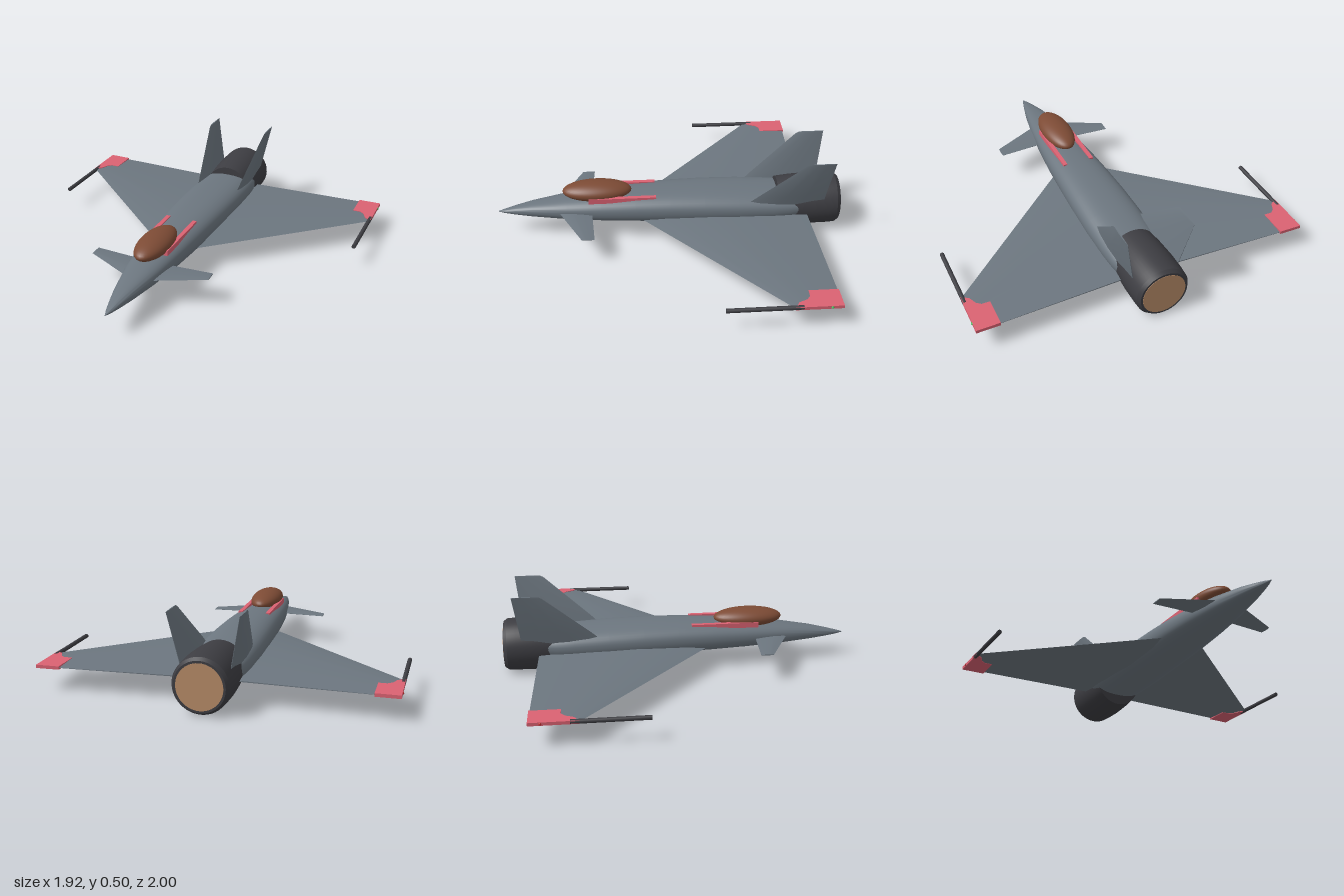
import * as THREE from 'three';
import { toCreasedNormals } from 'three/addons/utils/BufferGeometryUtils.js';

const paint = (color) => new THREE.MeshStandardMaterial({ color });
const skin = paint(0x6c767f);
const dark = paint(0x3d3d42);
const glass = paint(0x7d4b35);
const accent = paint(0xdb6272);
const glow = paint(0xb88c68);

function add(parent, name, geometry, material, x = 0, y = 0, z = 0) {
  const mesh = new THREE.Mesh(geometry, material);
  mesh.name = name;
  mesh.position.set(x, y, z);
  parent.add(mesh);
  return mesh;
}

// Skin a list of equal-length rings and close both ends; winding is fixed by signed volume.
function loft(rings, crease) {
  const n = rings[0].length;
  const pos = rings.flat().flat();
  const idx = [];
  for (let r = 0; r < rings.length - 1; r++) {
    for (let i = 0; i < n; i++) {
      const a = r * n + i, b = r * n + ((i + 1) % n);
      idx.push(a, b, a + n, b, b + n, a + n);
    }
  }
  [0, rings.length - 1].forEach((r, end) => {
    const c = pos.length / 3;
    for (let k = 0; k < 3; k++) pos.push(rings[r].reduce((s, p) => s + p[k], 0) / n);
    for (let i = 0; i < n; i++) {
      const a = r * n + i, b = r * n + ((i + 1) % n);
      idx.push(...(end ? [a, b, c] : [b, a, c]));
    }
  });
  const v = (i) => new THREE.Vector3().fromArray(pos, i * 3);
  let volume = 0;
  for (let i = 0; i < idx.length; i += 3) volume += v(idx[i]).dot(v(idx[i + 1]).cross(v(idx[i + 2])));
  if (volume < 0) idx.reverse();
  const g = new THREE.BufferGeometry();
  g.setAttribute('position', new THREE.Float32BufferAttribute(pos, 3));
  g.setIndex(idx);
  return toCreasedNormals(g, crease);
}

// Thin aerofoil surface: sections are [x, y, leading z, trailing z, thickness].
const FOIL = [[0, 0], [0.12, 0.6], [0.4, 1], [0.7, 0.7], [1, 0.12]];
function foil(sections, side, upright = false) {
  const outline = [...FOIL, ...FOIL.slice(1).reverse().map(([u, t]) => [u, -t])];
  return loft(sections.map(([x, y, le, te, th]) => outline.map(([u, t]) => {
    const d = (t * th) / 2;
    return [side * (x + (upright ? d : 0)), y + (upright ? 0 : d), le + (te - le) * u];
  })), 0.5);
}

// Fuselage stations: [z, half width, top, bottom].
const STATIONS = [
  [1, 0.002, 0.147, 0.143], [0.96, 0.017, 0.158, 0.136], [0.9, 0.034, 0.173, 0.129],
  [0.8, 0.059, 0.195, 0.12], [0.6, 0.098, 0.226, 0.107], [0.4, 0.125, 0.248, 0.099],
  [0.2, 0.143, 0.262, 0.093], [0, 0.155, 0.269, 0.088], [-0.2, 0.164, 0.27, 0.084],
  [-0.4, 0.168, 0.264, 0.081], [-0.6, 0.163, 0.252, 0.08], [-0.7, 0.156, 0.244, 0.086],
  [-0.86, 0.125, 0.225, 0.11],
];
function fuselageGeometry() {
  const soft = (c) => Math.sign(c) * Math.abs(c) ** 0.82;
  return loft(STATIONS.map(([z, w, top, bottom]) => Array.from({ length: 40 }, (_, i) => {
    const a = (i / 40) * Math.PI * 2;
    return [w * soft(Math.cos(a)), (top + bottom) / 2 + ((top - bottom) / 2) * soft(Math.sin(a)), z];
  })), 0.7);
}

export function createModel() {
  const model = new THREE.Group();
  model.name = 'jetAircraft';

  add(model, 'fuselage', fuselageGeometry(), skin);
  add(model, 'canopy', new THREE.SphereGeometry(1, 40, 24), glass, 0, 0.27, 0.42).scale.set(0.09, 0.055, 0.2);

  // Engine barrel, turned about the z axis, with a chamfered rim
  const profile = [[0, 0.633], [0.137, 0.633], [0.146, 0.72], [0.152, 0.83], [0.151, 0.93],
    [0.148, 0.978], [0.134, 0.998], [0.118, 0.998], [0, 0.998]].map(([r, z]) => new THREE.Vector2(r, z));
  const barrel = toCreasedNormals(new THREE.LatheGeometry(profile, 48), 0.4).rotateX(-Math.PI / 2);
  add(model, 'engine', barrel, dark, 0, 0.158);
  const disc = new THREE.CylinderGeometry(0.122, 0.122, 0.01, 48).rotateX(Math.PI / 2);
  add(model, 'exhaust', disc, glow, 0, 0.158, -0.995);

  // Coloured wing tip outline in (x, z)
  const tip = [[0.825, -0.83], [0.825, -0.67], [0.87, -0.67], [0.895, -0.65],
    [0.915, -0.605], [0.955, -0.58], [0.955, -0.832]];

  for (const side of [1, -1]) {
    const half = new THREE.Group();
    half.name = side > 0 ? 'leftSide' : 'rightSide';
    model.add(half);

    add(half, 'wing', foil([
      [0.08, 0.135, 0.205, -0.797, 0.052],
      [0.95, 0.135, -0.58, -0.83, 0.01],
    ], side), skin);

    add(half, 'canard', foil([
      [0.06, 0.17, 0.652, 0.455, 0.014],
      [0.35, 0.17, 0.51, 0.438, 0.006],
    ], side), skin);

    add(half, 'tailFin', foil([
      [0.125, 0.2, -0.43, -0.893, 0.03],
      [0.138, 0.265, -0.5, -0.9, 0.026],
      [0.184, 0.495, -0.765, -0.93, 0.01],
      [0.186, 0.505, -0.785, -0.932, 0.007],
    ], side, true), skin);

    // Wing tip panel, rail and navigation light
    const shape = new THREE.Shape(tip.map(([x, z]) => new THREE.Vector2(side * x, -z)));
    const panel = new THREE.ExtrudeGeometry(shape, { depth: 0.018, bevelEnabled: false });
    add(half, 'wingTipPanel', panel.rotateX(-Math.PI / 2), accent, 0, 0.126);
    const rail = new THREE.CylinderGeometry(0.012, 0.012, 0.4, 16).rotateX(Math.PI / 2);
    add(half, 'tipRail', rail, dark, side * 0.945, 0.135, -0.425);
    add(half, 'navigationLight', new THREE.SphereGeometry(0.008, 12, 8),
      paint(side > 0 ? 0x3fc45a : 0xc03030), side * 0.953, 0.135, -0.77);

    // Stripe along the shoulder beside the canopy
    add(half, 'shoulderStripe', new THREE.BoxGeometry(0.024, 0.03, 0.39), accent, side * 0.083, 0.249, 0.275);
  }
  return model;
}
